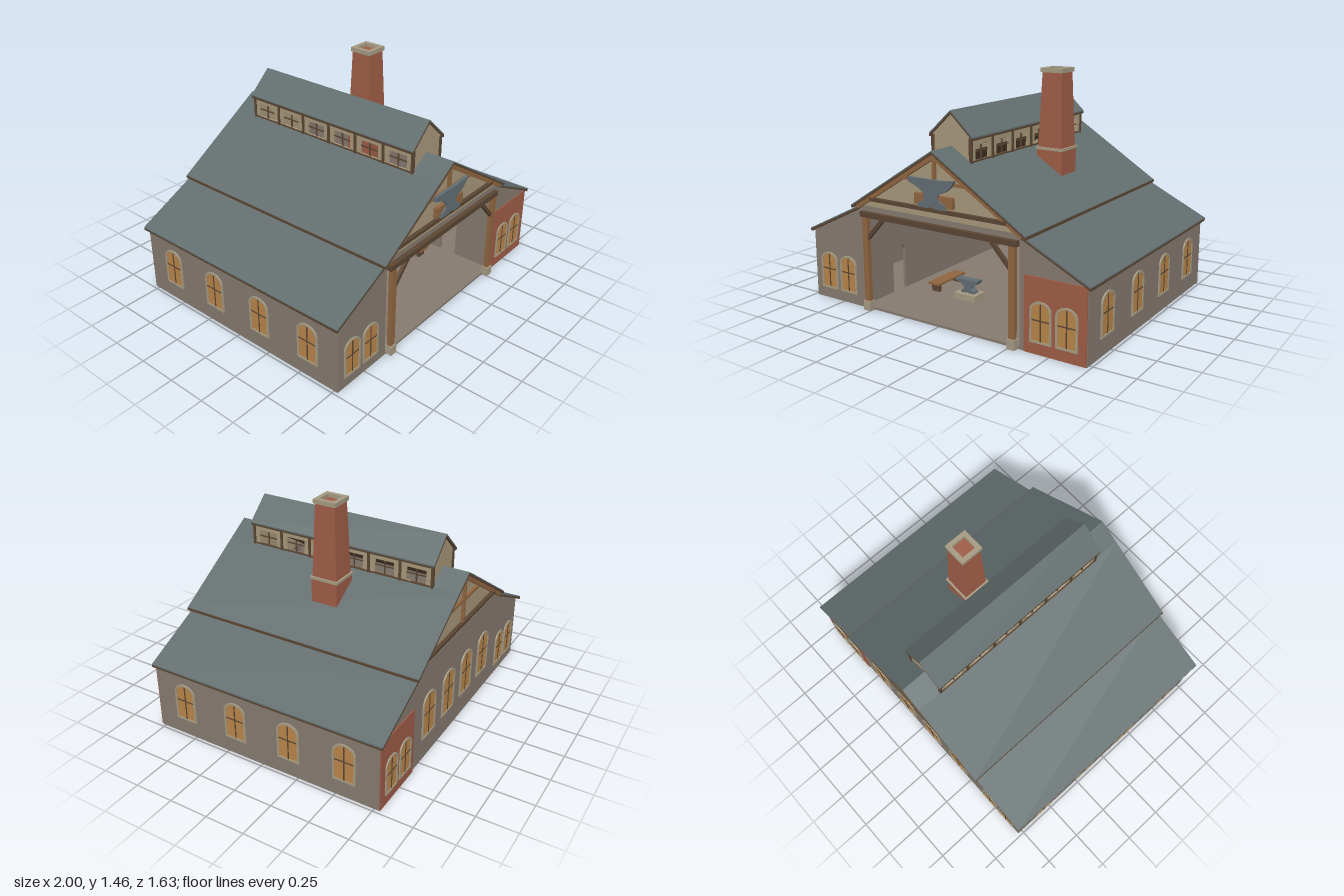
import * as THREE from 'three';

const mat = (name, color) => Object.assign(new THREE.MeshStandardMaterial({ color }), { name });
const M = {
  stone: mat('wall stone', 0x857a6f),
  trim: mat('pale stone trim', 0xa59a82),
  plaster: mat('tan plaster', 0xa6977a),
  slate: mat('roof slate', 0x626d6d),
  dark: mat('dark timber', 0x5a4633),
  wood: mat('warm timber', 0x8f6540),
  brick: mat('red brick', 0x9e5c46),
  glass: mat('amber glass', 0xb98549),
  iron: mat('iron', 0x626d72),
};

function add(parent, name, geo, material, x = 0, y = 0, z = 0) {
  const m = new THREE.Mesh(geo, material);
  m.name = name;
  m.position.set(x, y, z);
  parent.add(m);
  return m;
}
const box = (p, name, m, w, h, d, x, y, z) => add(p, name, new THREE.BoxGeometry(w, h, d), m, x, y, z);
const poly = (pts) => new THREE.Shape(pts.map(([x, y]) => new THREE.Vector2(x, y)));
const extrude = (shape, depth) => new THREE.ExtrudeGeometry(shape, { depth, bevelEnabled: false, curveSegments: 12 });

// Timber running between two points of a vertical plane
function timber(p, name, m, [x0, y0], [x1, y1], width, depth, z) {
  const b = box(p, name, m, Math.hypot(x1 - x0, y1 - y0), width, depth, (x0 + x1) / 2, (y0 + y1) / 2, z);
  b.rotation.z = Math.atan2(y1 - y0, x1 - x0);
}

// Arch-topped outline standing on y0
function arch(w, h, y0 = 0, PathType = THREE.Shape, x = 0) {
  const s = new PathType(), rise = w * 0.4;
  s.moveTo(x - w / 2, y0);
  s.lineTo(x + w / 2, y0);
  s.lineTo(x + w / 2, y0 + h - rise);
  s.absellipse(x, y0 + h - rise, w / 2, rise, 0, Math.PI, false);
  s.closePath();
  return s;
}

// Glazed window facing local +z, its sill at the origin
function archWindow(p, x, y, z, turn, w, h) {
  const g = new THREE.Group(), t = 0.012;
  g.name = 'archedWindow';
  g.position.set(x, y, z);
  g.rotation.y = turn;
  p.add(g);
  add(g, 'windowGlass', extrude(arch(w, h), 0.004), M.glass);
  const ring = arch(w + 2 * t, h + 2 * t, -t);
  ring.holes.push(arch(w, h, 0, THREE.Path));
  add(g, 'windowSurround', extrude(ring, 0.009), M.trim);
  box(g, 'mullion', M.dark, 0.007, h, 0.007, 0, h / 2, 0.0035);
  box(g, 'glazingBar', M.dark, w, 0.007, 0.007, 0, h * 0.55, 0.0035);
}

// Sloping roof half: slate over a dark timber deck, mirrored by side
function roof(p, name, side, [x0, y0], [x1, y1], z0, z1) {
  const layer = (top, bottom) => extrude(poly([
    [side * x0, y0 - top], [side * x1, y1 - top], [side * x1, y1 - bottom], [side * x0, y0 - bottom]]), z1 - z0);
  add(p, name + 'Slate', layer(0, 0.008), M.slate, 0, 0, z0);
  add(p, name + 'Deck', layer(0.008, 0.02), M.dark, 0, 0, z0);
}

// Square tapered block
function taper(p, name, m, top, bottom, y0, y1, x, z) {
  const g = new THREE.CylinderGeometry(top / Math.SQRT2, bottom / Math.SQRT2, y1 - y0, 4, 1).toNonIndexed();
  g.rotateY(Math.PI / 4);
  g.computeVertexNormals();
  return add(p, name, g, m, x, (y0 + y1) / 2, z);
}

// Anvil with its horn to +x, one unit wide and centred in depth
function anvil(p, name, width, depth, x, y, z) {
  const s = new THREE.Shape();
  s.moveTo(-0.3, 0);
  s.lineTo(-0.08, 0);
  s.quadraticCurveTo(0, 0.06, 0.08, 0);
  s.lineTo(0.3, 0);
  s.lineTo(0.28, 0.09);
  s.quadraticCurveTo(0.1, 0.13, 0.14, 0.26);
  s.quadraticCurveTo(0.4, 0.33, 0.5, 0.54);
  s.lineTo(0.17, 0.51);
  s.lineTo(-0.5, 0.51);
  s.lineTo(-0.5, 0.42);
  s.quadraticCurveTo(-0.3, 0.38, -0.17, 0.26);
  s.quadraticCurveTo(-0.1, 0.13, -0.28, 0.09);
  const g = extrude(s, depth);
  g.translate(0, 0, -depth / 2);
  g.scale(width, width, 1);
  add(p, name, g, M.iron, x, y, z);
}

export function createModel() {
  const root = new THREE.Group();
  root.name = 'forgeHouse';

  // Floor and outer walls
  box(root, 'floor', M.stone, 1.96, 0.015, 1.55, 0, 0.0075, 0);
  const outline = [[0.98, 0], [0.98, 0.435], [0.59, 0.625], [0.59, 0.66], [-0.59, 0.66], [-0.59, 0.625], [-0.98, 0.435], [-0.98, 0]];
  add(root, 'backWall', extrude(poly(outline), 0.025), M.stone, 0, 0, -0.78);
  const opening = [[-0.56, 0], [-0.56, 0.6], [0.56, 0.6], [0.56, 0]];
  add(root, 'frontWall', extrude(poly([...outline, ...opening]), 0.025), M.stone, 0, 0, 0.75);
  for (const s of [-1, 1]) {
    box(root, 'sideWall', M.stone, 0.025, 0.44, 1.55, s * 0.9675, 0.22, 0);
    for (const z of [0.56, 0.185, -0.19, -0.56]) archWindow(root, s * 0.98, 0.12, z, s * Math.PI / 2, 0.125, 0.23);

    // Wall between nave and aisle with an arched doorway
    const inner = poly([[-0.755, 0], [0.75, 0], [0.75, 0.65], [-0.755, 0.65]]);
    inner.holes.push(arch(0.12, 0.3, 0.016, THREE.Path, 0.45));
    const wall = add(root, 'naveWall', extrude(inner, 0.02), M.stone, s * 0.58 + 0.01, 0, 0);
    wall.rotation.y = -Math.PI / 2;
  }

  // Windows and brick panels on both ends
  for (const f of [1, -1]) {
    const z = f > 0 ? 0.775 : -0.78, turn = f > 0 ? 0 : Math.PI;
    box(root, 'brickPanel', M.brick, 0.385, 0.44, 0.008, 0.7845, 0.22, z + f * 0.003);
    for (const x of [0.7, 0.86]) {
      archWindow(root, x, 0.08, z + f * 0.006, turn, 0.11, 0.215);
      archWindow(root, -x, 0.08, z, turn, 0.11, 0.215);
    }
  }
  for (const x of [-0.395, -0.13, 0.13, 0.395]) {
    archWindow(root, x, 0.16, -0.78, Math.PI, 0.14, 0.275);
    add(root, 'innerGlass', extrude(arch(0.14, 0.275), 0.005), M.glass, x, 0.16, -0.755);
  }

  // Plastered gables with timber trusses
  for (const f of [1, -1]) {
    const z = f > 0 ? 0.765 : -0.77, tz = z + f * 0.02;
    add(root, 'gablePanel', extrude(poly([[-0.59, 0.655], [0.59, 0.655], [0, 1.032]]), 0.025), M.plaster, 0, 0, z - 0.0125);
    box(root, 'tieBeam', M.dark, 0.98, 0.022, 0.03, 0, 0.705, tz);
    box(root, 'kingPost', M.wood, 0.02, 0.3, 0.022, 0, 0.86, tz);
    box(root, 'collarBeam', M.wood, 0.44, 0.018, 0.02, 0, 0.868, tz);
    for (const s of [-1, 1]) timber(root, 'rafter', M.wood, [s * 0.59, 0.645], [0, 1.015], 0.026, 0.03, tz);
  }

  // Roofs; the nave ridge is open beneath the lantern
  for (const s of [-1, 1]) {
    roof(root, 'aisleRoof', s, [1, 0.447], [0.58, 0.652], -0.805, 0.79);
    roof(root, 'naveRoof', s, [0.62, 0.658], [0.135, 0.965], -0.815, 0.81);
    roof(root, 'frontRidge', s, [0.135, 0.965], [0, 1.05], 0.61, 0.81);
    roof(root, 'backRidge', s, [0.135, 0.965], [0, 1.05], -0.815, -0.635);
    roof(root, 'lanternRoof', s, [0.155, 1.112], [0, 1.255], -0.66, 0.632);
    box(root, 'naveEave', M.dark, 0.012, 0.016, 1.625, s * 0.617, 0.647, -0.0025);
    box(root, 'aisleEave', M.dark, 0.012, 0.016, 1.595, s * 0.994, 0.436, -0.0075);
  }

  // Lantern along the ridge with open glazed bays
  const lantern = new THREE.Group();
  lantern.name = 'lantern';
  root.add(lantern);
  for (const z of [0.605, -0.645]) {
    add(lantern, 'lanternEnd', extrude(poly([[-0.135, 0.95], [0.135, 0.95], [0.135, 1.115], [0, 1.237], [-0.135, 1.115]]), 0.015), M.plaster, 0, 0, z);
  }
  const bay = 1.265 / 6, bayZ = (i) => -0.645 + bay * i;
  for (const s of [-1, 1]) {
    const side = poly([[-0.645, 0.95], [0.62, 0.95], [0.62, 1.11], [-0.645, 1.11]]);
    for (let i = 0; i < 6; i++) {
      const c = bayZ(i + 0.5), a = c - 0.065, b = c + 0.065;
      side.holes.push(new THREE.Path([[a, 0.972], [b, 0.972], [b, 1.06], [a, 1.06]].map(([u, v]) => new THREE.Vector2(u, v))));
      box(lantern, 'lanternMullion', M.dark, 0.008, 0.09, 0.007, s * 0.13, 1.016, c);
      box(lantern, 'lanternBar', M.dark, 0.008, 0.007, 0.13, s * 0.13, 1.022, c);
    }
    const wall = add(lantern, 'lanternSide', extrude(side, 0.012), M.plaster, s * 0.13 + 0.006, 0, 0);
    wall.rotation.y = -Math.PI / 2;
    for (let i = 0; i <= 6; i++) box(lantern, 'lanternPost', M.dark, 0.018, 0.15, 0.016, s * 0.134, 1.03, bayZ(i));
    box(lantern, 'lanternHead', M.dark, 0.016, 0.014, 1.285, s * 0.147, 1.1, -0.0135);
    box(lantern, 'lanternSill', M.dark, 0.016, 0.008, 1.265, s * 0.135, 0.968, -0.0125);
  }

  // Entrance frame
  box(root, 'entranceBeam', M.dark, 1.12, 0.032, 0.03, 0, 0.605, 0.79);
  for (const s of [-1, 1]) {
    box(root, 'entrancePost', M.wood, 0.038, 0.54, 0.028, s * 0.525, 0.32, 0.79);
    box(root, 'postBase', M.trim, 0.05, 0.06, 0.045, s * 0.525, 0.03, 0.79);
    timber(root, 'entranceBrace', M.dark, [s * 0.51, 0.46], [s * 0.39, 0.59], 0.024, 0.02, 0.79);
  }

  // Anvil emblem on its wooden bracket
  box(root, 'emblemBracket', M.wood, 0.27, 0.065, 0.025, 0, 0.762, 0.79);
  anvil(root, 'emblemAnvil', 0.325, 0.02, -0.005, 0.72, 0.805);

  // Hearth, hood and chimney
  const cx = 0.295, cz = -0.06;
  const face = poly([[-0.158, 0], [0.158, 0], [0.158, 0.31], [-0.158, 0.31]]);
  face.holes.push(arch(0.235, 0.22, 0.05, THREE.Path));
  add(root, 'hearthFront', extrude(face, 0.12), M.brick, cx, 0, cz + 0.02);
  box(root, 'hearthBack', M.brick, 0.316, 0.31, 0.16, cx, 0.155, cz - 0.06);
  const ring = arch(0.265, 0.25, 0.035);
  ring.holes.push(arch(0.235, 0.22, 0.05, THREE.Path));
  add(root, 'hearthSurround', extrude(ring, 0.009), M.trim, cx, 0, cz + 0.14);
  add(root, 'embers', new THREE.SphereGeometry(0.06, 12, 8), M.glass, cx, 0.05, cz + 0.08).scale.set(1, 0.6, 0.7);
  taper(root, 'smokeHood', M.iron, 0.16, 0.285, 0.31, 0.44, cx, cz);
  box(root, 'chimneyBase', M.brick, 0.175, 0.53, 0.175, cx, 0.7, cz);
  box(root, 'chimneyBand', M.trim, 0.188, 0.016, 0.188, cx, 0.966, cz);
  taper(root, 'chimneyShaft', M.brick, 0.132, 0.165, 0.974, 1.435, cx, cz);
  const cap = poly([[-0.075, -0.075], [0.075, -0.075], [0.075, 0.075], [-0.075, 0.075]]);
  cap.holes.push(new THREE.Path([[-0.047, -0.047], [-0.047, 0.047], [0.047, 0.047], [0.047, -0.047]].map(([u, v]) => new THREE.Vector2(u, v))));
  add(root, 'chimneyCap', extrude(cap, 0.027), M.trim, cx, 1.43, cz).rotation.x = -Math.PI / 2;

  // Workshop furniture
  box(root, 'anvilBlock', M.trim, 0.155, 0.042, 0.11, -0.1, 0.035, 0.33);
  anvil(root, 'workAnvil', 0.17, 0.05, -0.1, 0.056, 0.33);
  for (const x of [-0.355, 0.405]) {
    box(root, 'benchTop', M.wood, 0.085, 0.014, 0.28, x, 0.07, 0.23);
    for (const dz of [-0.11, 0.11]) box(root, 'benchLeg', M.dark, 0.06, 0.052, 0.02, x, 0.039, 0.23 + dz);
  }
  return root;
}
